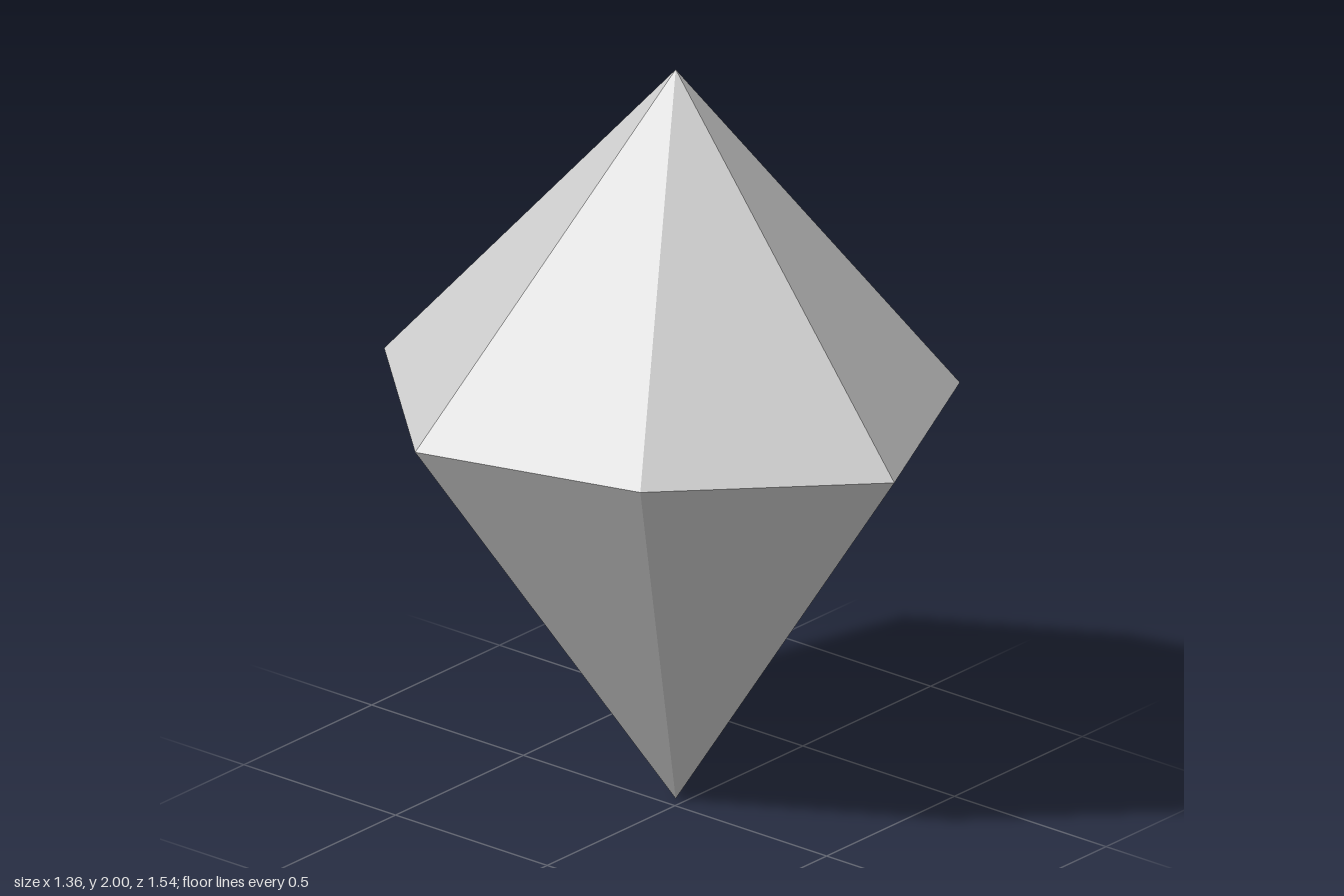
import * as THREE from 'three';

// Girdle corners (x, z), clockwise seen from above
const GIRDLE = [
  [-0.222, -0.772], [0.402, -0.612], [0.68, -0.102], [0.545, 0.48],
  [-0.053, 0.768], [-0.513, 0.318], [-0.682, -0.282],
];
const GIRDLE_Y = 1.115;
const TIP = [0.036, -0.028];

// Fan of flat facets from the girdle to a tip at the given height
function facets(tipY) {
  const positions = [];
  GIRDLE.forEach(([x, z], i) => {
    const [nx, nz] = GIRDLE[(i + 1) % GIRDLE.length];
    const a = [x, GIRDLE_Y, z];
    const b = [nx, GIRDLE_Y, nz];
    const corners = tipY > GIRDLE_Y ? [b, a] : [a, b];
    positions.push(TIP[0], tipY, TIP[1], ...corners[0], ...corners[1]);
  });
  const geometry = new THREE.BufferGeometry();
  geometry.setAttribute('position', new THREE.Float32BufferAttribute(positions, 3));
  geometry.computeVertexNormals();
  return geometry;
}

export function createModel() {
  const stone = new THREE.MeshStandardMaterial({ color: 0xcccccc });
  stone.name = 'pale grey stone';

  const group = new THREE.Group();
  group.name = 'crystal';

  // Shorter upper half and longer lower half
  for (const [name, tipY] of [['upperFacets', 2], ['lowerFacets', 0]]) {
    const mesh = new THREE.Mesh(facets(tipY), stone);
    mesh.name = name;
    group.add(mesh);
  }
  return group;
}
